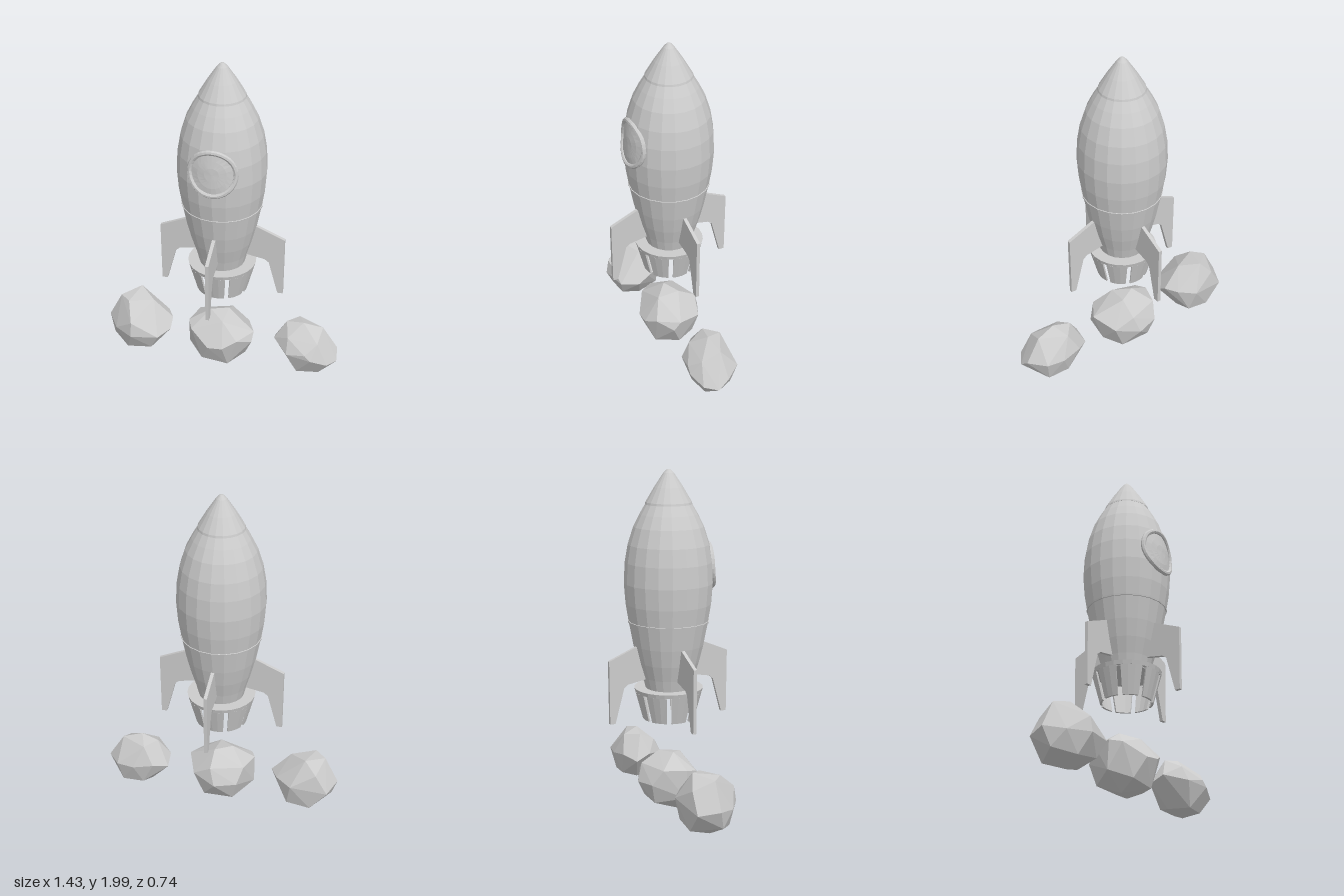
import * as THREE from 'three';
import { ConvexGeometry } from 'three/addons/geometries/ConvexGeometry.js';

const mat = new THREE.MeshStandardMaterial({ color: 0xcccccc, flatShading: true });
const openMat = new THREE.MeshStandardMaterial({ color: 0xcccccc, flatShading: true, side: THREE.DoubleSide });

// Hull outline as [radius, height]
const HULL = [
  [0.132, 0.74], [0.15, 0.81], [0.178, 0.9], [0.203, 1.0], [0.228, 1.13],
  [0.246, 1.24], [0.255, 1.36], [0.249, 1.48], [0.232, 1.58], [0.2, 1.68], [0.165, 1.75], [0.13, 1.81],
];

function hullRadius(y) {
  for (let i = 1; i < HULL.length; i++) {
    const [r0, y0] = HULL[i - 1], [r1, y1] = HULL[i];
    if (y <= y1) return r0 + (r1 - r0) * (y - y0) / (y1 - y0);
  }
  return HULL.at(-1)[0];
}

// Point on the front of the hull, lifted outward by a small offset
function onHull(x, y, lift = 0) {
  const r = hullRadius(y);
  const z = Math.sqrt(r * r - x * x);
  return new THREE.Vector3(x * (1 + lift / r), y, z * (1 + lift / r));
}

function add(parent, name, geometry, material = mat) {
  const mesh = new THREE.Mesh(geometry, material);
  mesh.name = name;
  parent.add(mesh);
  return mesh;
}

function lathe(points, segments = 20) {
  return new THREE.LatheGeometry(points.map(([r, y]) => new THREE.Vector2(r, y)), segments);
}

function buildPorthole(parent) {
  const cy = 1.447;
  const loop = [];
  for (let i = 0; i < 24; i++) {
    const a = i / 24 * Math.PI * 2;
    loop.push(onHull(0.129 * Math.cos(a), cy + 0.129 * Math.sin(a), 0.001));
  }
  const curve = new THREE.CatmullRomCurve3(loop, true);
  add(parent, 'portholeFrame', new THREE.TubeGeometry(curve, 32, 0.015, 8, true));

  // Glass: a disc wrapped over the hull
  const glass = new THREE.RingGeometry(0.001, 0.122, 24, 3);
  const p = glass.attributes.position;
  for (let i = 0; i < p.count; i++) {
    const v = onHull(p.getX(i), cy + p.getY(i), 0.002);
    p.setXYZ(i, v.x, v.y, v.z);
  }
  glass.computeVertexNormals();
  add(parent, 'portholeGlass', glass);
}

function buildFins(parent) {
  const shape = new THREE.Shape([
    [0.14, 0.806], [0.255, 0.785], [0.28, 0.765], [0.335, 0.56],
    [0.367, 0.56], [0.37, 0.93], [0.205, 1.0], [0.185, 1.0],
  ].map(([x, y]) => new THREE.Vector2(x, y)));
  const geometry = new THREE.ExtrudeGeometry(shape, { depth: 0.02, bevelEnabled: false });
  geometry.translate(0, 0, -0.01);
  for (let k = 0; k < 4; k++) add(parent, 'fin', geometry).rotation.y = k * Math.PI / 2;
}

function buildNozzle(parent) {
  const top = 0.745, split = 0.722, bottom = 0.56, wall = 0.012;
  const radius = (y) => 0.15 + 0.05 * (y - bottom) / (top - bottom);
  // Solid collar under the hull
  add(parent, 'nozzleCollar', lathe([
    [radius(split) - wall, split], [radius(split), split], [radius(top), top], [0.1, top],
  ], 24), openMat);

  // Eight curved petals with slots between them
  const petal = new THREE.BoxGeometry(2, 1, 1, 3, 1, 1);
  const p = petal.attributes.position;
  for (let i = 0; i < p.count; i++) {
    const y = p.getY(i) > 0 ? split : bottom;
    const r = radius(y) - (p.getZ(i) > 0 ? 0 : wall);
    const a = p.getX(i) * (Math.PI / 8 - 0.013 / r);
    p.setXYZ(i, r * Math.sin(a), y, r * Math.cos(a));
  }
  petal.computeVertexNormals();
  for (let k = 0; k < 8; k++) add(parent, 'nozzlePetal', petal).rotation.y = k * Math.PI / 4;
}

// Corner points of the three faceted rocks
const ROCKS = {
  rightRock: [
    [-.53, .40, -.09], [-.635, .375, 0], [-.43, .37, 0], [-.57, .38, .06], [-.715, .22, 0], [-.67, .2, -.12],
    [-.68, .11, .03], [-.53, .03, .02], [-.425, .06, 0], [-.315, .205, .05], [-.315, .25, -.015],
    [-.36, .25, -.09], [-.455, .24, -.16], [-.37, .2, .15], [-.53, .29, .165], [-.53, .2, .18],
    [-.645, .2, .105], [-.57, .08, .12], [-.42, .1, .12], [-.57, .08, -.12], [-.43, .1, -.12], [-.6, .32, -.12],
  ],
  middleRock: [
    [-.07, .365, 0], [.03, .355, -.05], [.02, .34, .08], [.2, .255, .02], [.195, .205, .06], [.145, .075, 0],
    [0, .01, 0], [-.075, .02, .02], [-.2, .12, .02], [-.2, .285, .03], [-.16, .29, -.1], [-.17, .27, .1],
    [.04, .21, .18], [-.05, .2, .175], [.12, .25, .14], [-.1, .08, .12], [.06, .06, .12], [0, .19, -.195],
    [.03, .29, -.16], [.14, .22, -.13], [.08, .07, -.12], [-.1, .08, -.13], [-.13, .2, -.16],
  ],
  leftRock: [
    [.5, .36, 0], [.615, .33, -.02], [.395, .34, -.02], [.46, .33, -.1], [.705, .19, -.03], [.712, .137, .035],
    [.535, .025, 0], [.43, .06, -.03], [.32, .19, -.07], [.325, .23, .015], [.4, .22, -.13], [.52, .2, -.147],
    [.625, .2, -.13], [.665, .15, .11], [.57, .19, .147], [.535, .225, .145], [.42, .2, .127], [.42, .29, .08],
    [.6, .28, .09], [.48, .06, .09], [.61, .06, .07], [.6, .07, -.1], [.47, .08, -.11],
  ],
};

export function createModel() {
  const model = new THREE.Group();
  model.name = 'rocketWithRocks';
  const rocket = new THREE.Group();
  rocket.name = 'rocket';
  model.add(rocket);

  // Hull with a closed floor, seam band and nose cone
  add(rocket, 'hull', lathe([[0, 0.74], ...HULL]));
  add(rocket, 'hullSeam', lathe([[0.222, 1.128], [0.232, 1.13], [0.234, 1.14], [0.225, 1.143]]), openMat);
  add(rocket, 'noseCone', lathe([[0, 1.805], [0.134, 1.805], [0.131, 1.817], [0.082, 1.9], [0.03, 1.978], [0.012, 1.997], [0, 2]]));

  buildPorthole(rocket);
  buildFins(rocket);
  buildNozzle(rocket);

  for (const [name, points] of Object.entries(ROCKS)) {
    add(model, name, new ConvexGeometry(points.map((p) => new THREE.Vector3(...p))));
  }
  return model;
}
